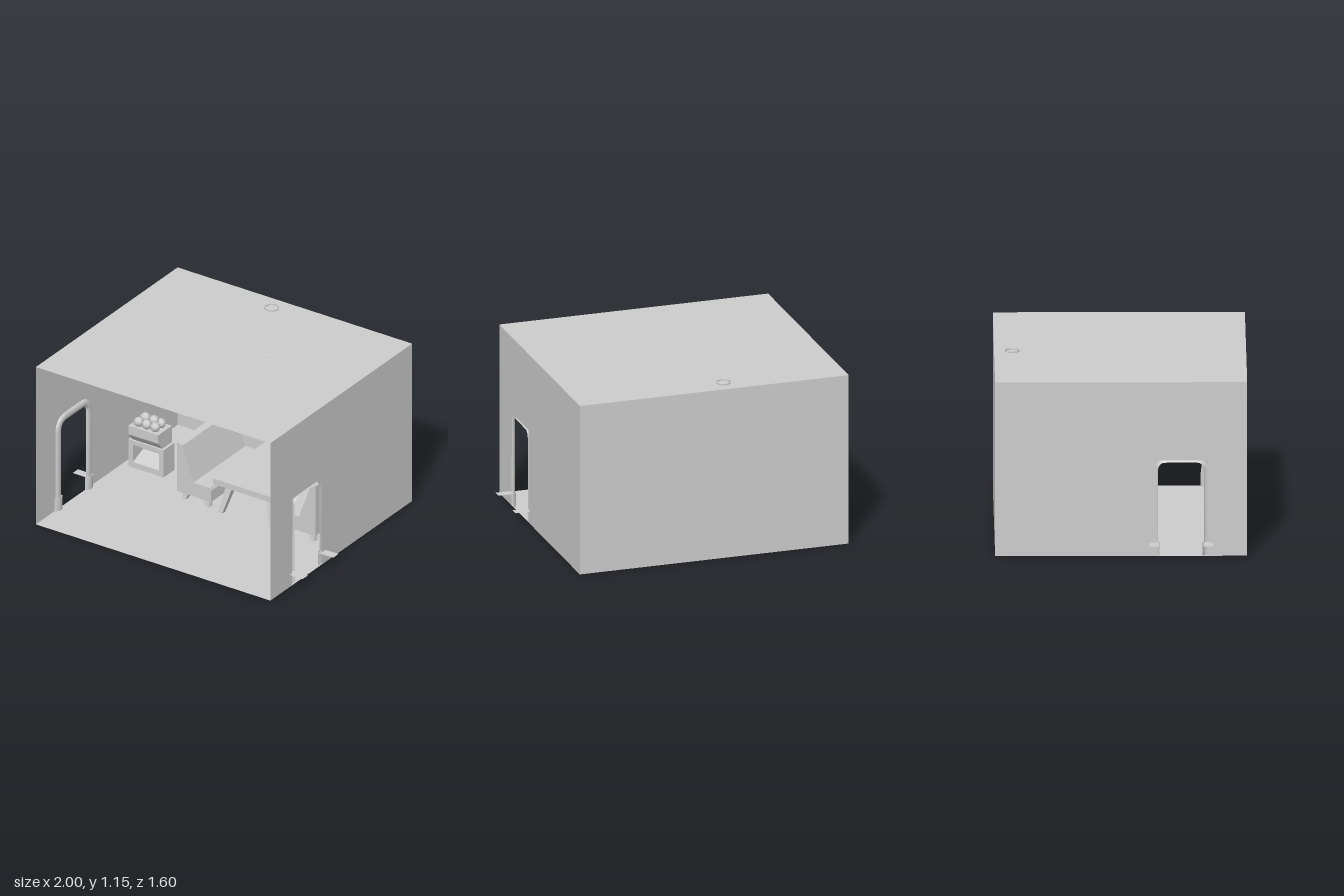
import * as THREE from 'three';

const mat = new THREE.MeshStandardMaterial({ color: 0xcccccc, side: THREE.DoubleSide });
const flat = new THREE.MeshStandardMaterial({ color: 0xcccccc, side: THREE.DoubleSide, flatShading: true });

const W = 0.9, H = 1.137, D = 0.8;
const DOOR_Z = 0.38, DOOR_HALF = 0.172;

function add(parent, name, geo, x = 0, y = 0, z = 0, material = flat) {
  const m = new THREE.Mesh(geo, material);
  m.name = name;
  m.position.set(x, y, z);
  parent.add(m);
  return m;
}

const shapeOf = pts => new THREE.Shape(pts.map(p => new THREE.Vector2(p[0], p[1])));
const extrude = (shape, depth) => new THREE.ExtrudeGeometry(shape, { depth, bevelEnabled: false });

// Profile given as (z, y), extruded from x0 to x1
function extrudeX(pts, x0, x1) {
  const g = extrude(shapeOf(pts.map(([z, y]) => [-z, y])), x1 - x0);
  return g.rotateY(Math.PI / 2).translate(x0, 0, 0);
}

// Square leg running from a top centre to a bottom centre with different widths
function legGeometry(top, bottom, wTop, wBottom) {
  const g = new THREE.BoxGeometry(1, 1, 1), p = g.attributes.position;
  for (let i = 0; i < p.count; i++) {
    const up = p.getY(i) > 0, c = up ? top : bottom, w = up ? wTop : wBottom;
    p.setXYZ(i, c[0] + p.getX(i) * w, c[1], c[2] + p.getZ(i) * w);
  }
  g.computeVertexNormals();
  return g;
}

// Half-round moulding swept over the inside of a side wall; path entries are [z, y, angle]
function moulding(path, half, depth) {
  const pos = [], idx = [], n = 8;
  path.forEach(([z, y, a], i) => {
    for (let j = 0; j <= n; j++) {
      const t = Math.PI * j / n, w = half * Math.cos(t);
      pos.push(W - depth * Math.sin(t), y + w * Math.sin(a), z + w * Math.cos(a));
      if (i && j) {
        const c = i * (n + 1) + j, b = c - n - 1;
        idx.push(b - 1, b, c, b - 1, c, c - 1);
      }
    }
  });
  const g = new THREE.BufferGeometry();
  g.setAttribute('position', new THREE.Float32BufferAttribute(pos, 3));
  g.setIndex(idx);
  g.computeVertexNormals();
  return g;
}

// Side wall with a doorway, its frame, frame feet and the small outer ledges
function side() {
  const g = new THREE.Group();
  const wall = shapeOf([[-D, 0], [-0.556, 0], [-0.551, 0.625], [-0.218, 0.625], [-0.224, 0], [D, 0], [D, H], [-D, H]]);
  add(g, 'sideWall', new THREE.ShapeGeometry(wall).rotateY(Math.PI / 2), W);
  const r = 0.07, path = [[DOOR_Z + DOOR_HALF, 0, 0]];
  for (let i = 0; i <= 9; i++) {
    const a = Math.PI / 2 * (i < 5 ? i / 4 : (i - 1) / 4);
    const cz = DOOR_Z + (i < 5 ? 1 : -1) * (DOOR_HALF - r);
    path.push([cz + r * Math.cos(a), 0.567 + r * Math.sin(a), a]);
  }
  path.push([DOOR_Z - DOOR_HALF, 0, Math.PI]);
  add(g, 'doorFrame', moulding(path, 0.027, 0.018), 0, 0, 0, mat);
  for (const s of [1, -1]) {
    const z = DOOR_Z + s * DOOR_HALF;
    add(g, 'frameFoot', moulding([[z, 0, 0], [z, 0.07, 0], [z, 0.09, 0]], 0.035, 0.026), 0, 0, 0, mat);
    add(g, 'frameLedge', new THREE.PlaneGeometry(0.12, 0.06).rotateX(-Math.PI / 2), 0.94, 0.088, z);
  }
  return g;
}

// Bench with a raked back and four splayed feet
function bench() {
  const g = new THREE.Group(), zf = 0.014, zb = -0.575;
  const profile = shapeOf([[-0.35, 0.055], [-0.09, 0.055], [-0.09, 0.135], [-0.1, 0.152], [-0.225, 0.155], [-0.31, 0.395], [-0.35, 0.41]]);
  add(g, 'benchBody', extrude(profile, zf - zb), 0, 0, zb);
  for (const [xt, xb] of [[-0.295, -0.315], [-0.15, -0.132]])
    for (const [zt, zo] of [[zf - 0.05, 0.015], [zb + 0.05, -0.015]])
      add(g, 'benchLeg', legGeometry([xt, 0.06, zt], [xb, 0, zt + zo], 0.045, 0.033));
  return g;
}

function table() {
  const g = new THREE.Group();
  add(g, 'tableTop', new THREE.BoxGeometry(0.46, 0.04, 0.66), 0, 0.235, 0);
  for (const sx of [-1, 1]) for (const sz of [-1, 1])
    add(g, 'tableLeg', legGeometry([sx * 0.145, 0.216, sz * 0.23], [sx * 0.2, 0, sz * 0.28], 0.05, 0.035));
  return g;
}

// Small cabinet with a recessed window, a flared tray and a heap of balls
function stand() {
  const g = new THREE.Group(), front = -0.17, back = -0.29;
  const face = shapeOf([[-0.85, 0], [-0.58, 0], [-0.58, 0.195], [-0.85, 0.195]]);
  face.holes.push(shapeOf([[-0.815, 0.04], [-0.815, 0.165], [-0.613, 0.165], [-0.613, 0.04]]));
  add(g, 'cabinet', extrude(face, front - back), 0, 0, back);
  add(g, 'cabinetBack', new THREE.BoxGeometry(0.27, 0.195, 0.005), -0.715, 0.0975, back);
  add(g, 'windowSill', extrudeX([[front, 0.04], [back, 0.04], [back, 0.085]], -0.815, -0.613));
  add(g, 'windowHood', extrudeX([[back, 0.085], [back, 0.165], [front - 0.01, 0.165]], -0.815, -0.613));
  add(g, 'tray', extrudeX([[-0.185, 0.195], [-0.14, 0.25], [-0.14, 0.312], [-0.295, 0.312], [-0.295, 0.195]], -0.83, -0.6));
  const ball = new THREE.SphereGeometry(0.033, 8, 6);
  for (const z of [-0.18, -0.245])
    for (const x of [-0.777, -0.715, -0.65]) add(g, 'ball', ball, x, 0.338, z, mat);
  for (const x of [-0.747, -0.68]) add(g, 'ball', ball, x, 0.366, -0.212, mat);
  return g;
}

export function createModel() {
  const model = new THREE.Group();
  model.name = 'diningRoom';

  // Room shell, open at the front
  add(model, 'floor', new THREE.PlaneGeometry(2 * W, 2 * D).rotateX(-Math.PI / 2));
  add(model, 'ceiling', new THREE.PlaneGeometry(2 * W, 2 * D).rotateX(-Math.PI / 2), 0, H);
  add(model, 'backWall', new THREE.PlaneGeometry(2 * W, H), 0, H / 2, -D);
  const left = side(), right = side();
  left.name = 'leftSide';
  right.name = 'rightSide';
  right.scale.x = -1;
  model.add(left, right);

  // Table between two facing benches
  const t = table();
  t.name = 'table';
  t.position.set(0.18, 0, -0.28);
  const b1 = bench(), b2 = bench();
  b1.name = 'rightBench';
  b2.name = 'leftBench';
  b2.scale.x = -1;
  b2.position.x = 0.36;
  const s = stand();
  s.name = 'ballStand';
  model.add(t, b1, b2, s);

  // Pipe that leaves the side wall and turns up through the ceiling
  const v = (x, y) => new THREE.Vector3(x, y, -0.685);
  const path = new THREE.CurvePath();
  path.add(new THREE.LineCurve3(v(-W, 0.943), v(-0.155, 0.943)));
  path.add(new THREE.QuadraticBezierCurve3(v(-0.155, 0.943), v(-0.1, 0.943), v(-0.1, 0.998)));
  path.add(new THREE.LineCurve3(v(-0.1, 0.998), v(-0.1, 1.146)));
  add(model, 'pipe', new THREE.TubeGeometry(path, 60, 0.047, 8, false), 0, 0, 0, mat);

  // Slim pendant hanging from the ceiling
  const pendant = [[0, 1.14], [0.008, 1.139], [0.024, 1.135], [0.022, 1.129], [0.011, 1.115], [0.007, 1.05], [0.009, 0.96], [0.015, 0.94], [0.013, 0.93], [0, 0.928]];
  add(model, 'pendant', new THREE.LatheGeometry(pendant.map(p => new THREE.Vector2(p[0], p[1])), 10), 0.2, 0, -0.17, mat);

  return model;
}
